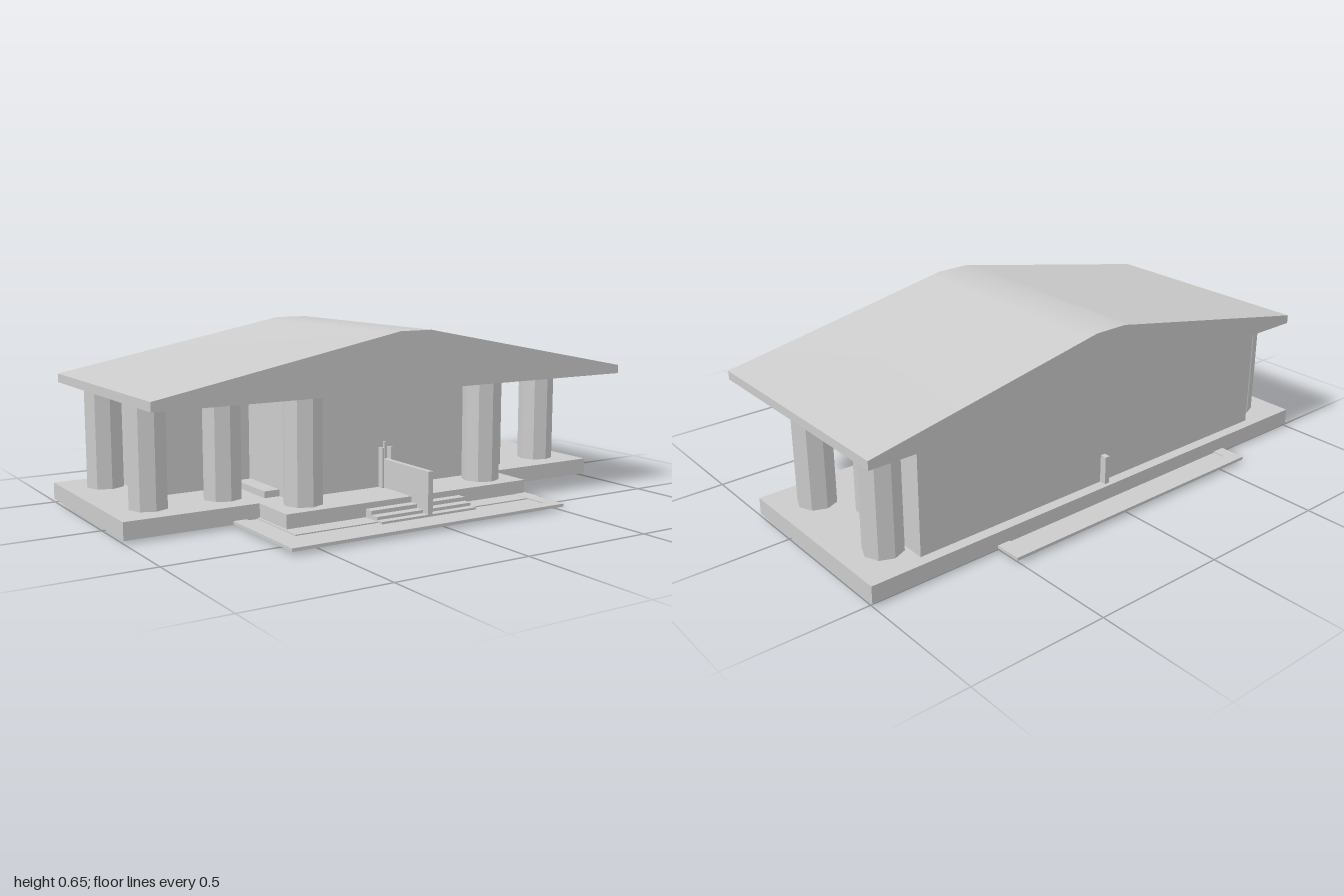
import * as THREE from 'three';
import { toCreasedNormals } from 'three/addons/utils/BufferGeometryUtils.js';

const grey = new THREE.MeshStandardMaterial({ color: 0xcccccc });

export function createModel() {
  const model = new THREE.Group();

  const add = (name, geometry) => {
    const mesh = new THREE.Mesh(geometry, grey);
    mesh.name = name;
    model.add(mesh);
    return mesh;
  };

  // box given by its limits on each axis
  const box = (name, x0, x1, y0, y1, z0, z1) =>
    add(name, new THREE.BoxGeometry(x1 - x0, y1 - y0, z1 - z0))
      .position.set((x0 + x1) / 2, (y0 + y1) / 2, (z0 + z1) / 2);

  const outline = (points) => new THREE.Shape(points.map(([x, y]) => new THREE.Vector2(x, y)));

  // flat plate drawn in plan as [x, -z], lying between y0 and y1
  const plate = (name, shape, y0, y1) => {
    const geometry = new THREE.ExtrudeGeometry(shape, { depth: y1 - y0, bevelEnabled: false });
    add(name, geometry.rotateX(-Math.PI / 2).translate(0, y0, 0));
  };

  // T-shaped platform on an eight-sided foot
  plate('platform', outline([
    [-1, 0.51], [-1, -0.2], [-0.51, -0.2], [-0.51, -0.39],
    [0.51, -0.39], [0.51, -0.2], [1, -0.2], [1, 0.51],
  ]), 0.01, 0.072);
  add('foot', new THREE.CylinderGeometry(0.24, 0.24, 0.012, 8).toNonIndexed())
    .position.y = 0.006;
  model.children.at(-1).geometry.computeVertexNormals();

  // thin ground plate with a raised rim
  const rim = outline([[-0.61, -0.605], [0.51, -0.605], [0.51, 0.61], [-0.61, 0.61]]);
  rim.holes.push(outline([[-0.56, -0.56], [-0.56, 0.56], [0.46, 0.56], [0.46, -0.56]]));
  plate('groundRim', rim, 0.012, 0.023);
  box('groundPanel', -0.565, 0.465, 0.014, 0.018, -0.565, 0.565);
  box('landing', -0.52, 0.52, 0.01, 0.022, 0.2, 0.465);

  // front steps
  [[0.425, 0.051], [0.46, 0.037], [0.49, 0.026]].forEach(([z, top]) =>
    box('step', -0.2, 0.2, 0.015, top, 0.36, z));

  // hall: wide rear block and narrower front block
  box('rearHall', -0.79, 0.79, 0.07, 0.45, -0.47, -0.09);
  box('frontHall', -0.4, 0.4, 0.07, 0.45, -0.1, 0.2);

  // thin dividing wall along the centre line
  box('dividingWall', -0.01, 0.01, 0.02, 0.177, -0.495, 0.49);
  box('doorRod', -0.003, 0.003, 0.07, 0.24, 0.2, 0.21);

  for (const side of [-1, 1]) {
    // eight-sided columns
    for (const [x, z] of [[0.385, 0.28], [0.58, 0.055], [0.855, 0.055], [0.855, -0.355]]) {
      const geometry = new THREE.CylinderGeometry(0.07, 0.07, 0.38, 8).toNonIndexed();
      geometry.computeVertexNormals();
      add('column', geometry).position.set(side * x, 0.26, z);
    }
    const cx = side * 0.43, px = side * 0.0185;
    box('bench', cx - 0.03, cx + 0.03, 0.07, 0.096, -0.08, 0.14);
    box('doorPost', px - 0.004, px + 0.004, 0.07, 0.22, 0.19, 0.225);
  }

  // low gabled roof with a softened ridge
  const gable = outline([
    [-0.975, 0.448], [0.975, 0.448], [0.975, 0.48], [0.1, 0.648], [0.065, 0.655],
    [-0.065, 0.655], [-0.1, 0.648], [-0.975, 0.48],
  ]);
  const roof = new THREE.ExtrudeGeometry(gable, { depth: 0.887, bevelEnabled: false });
  add('roof', toCreasedNormals(roof.translate(0, 0, -0.49), 0.4));

  return model;
}
